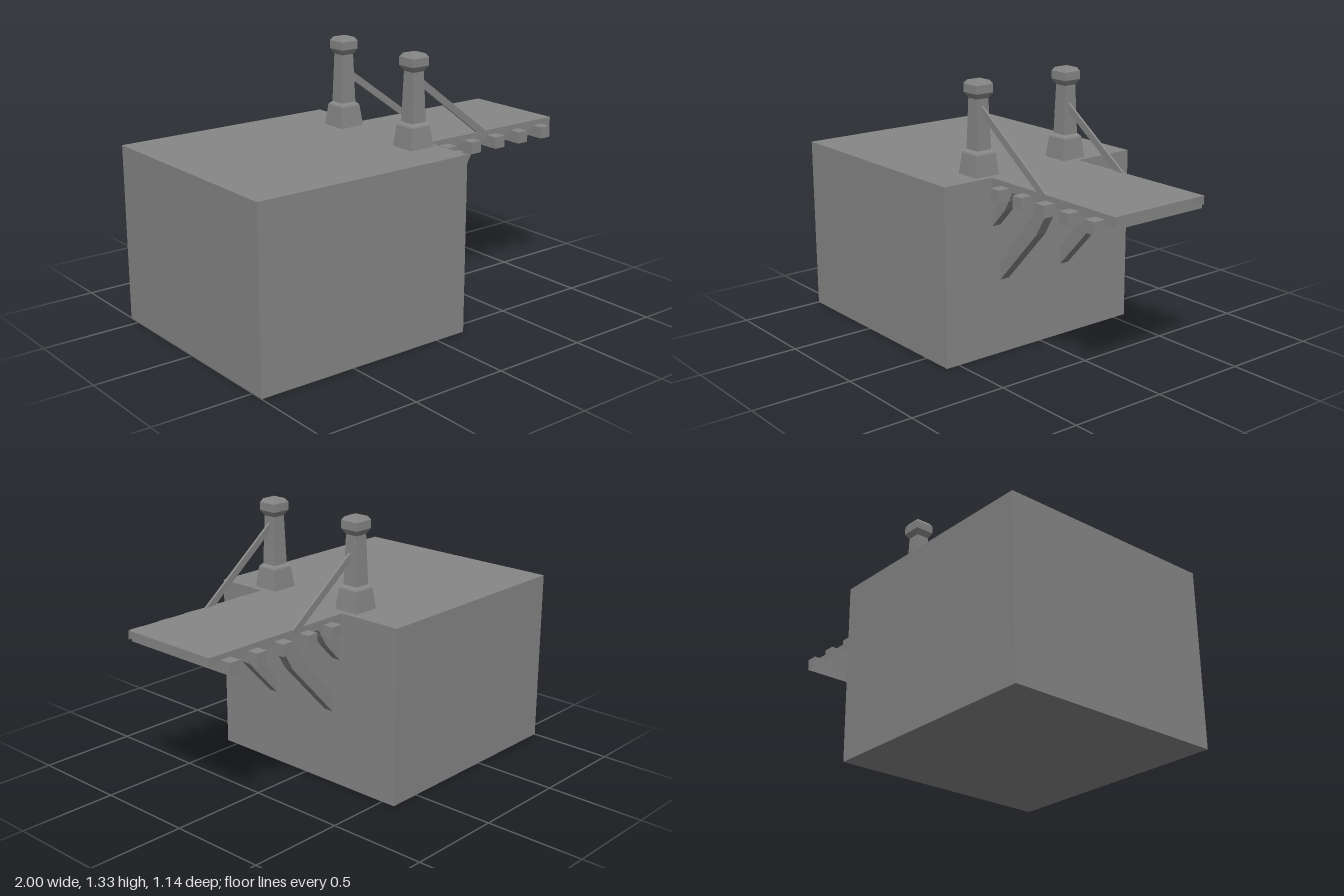
import * as THREE from 'three';

const SIDES = [{ mid: 0.298, dir: 1 }, { mid: -0.237, dir: -1 }];

export function createModel() {
  const group = new THREE.Group();
  const mat = new THREE.MeshStandardMaterial({ color: 0x878787, flatShading: true });
  const openMat = mat.clone();
  openMat.side = THREE.DoubleSide;

  const add = (name, geometry, material = mat) => {
    const mesh = new THREE.Mesh(geometry, material);
    mesh.name = name;
    group.add(mesh);
    return mesh;
  };
  // Box given by its limits on each axis; open lists missing faces (+x, -x, +y, -y, +z, -z as 0 to 5)
  const box = (name, x0, x1, y0, y1, z0, z1, open = []) => {
    const geometry = new THREE.BoxGeometry(x1 - x0, y1 - y0, z1 - z0)
      .translate((x0 + x1) / 2, (y0 + y1) / 2, (z0 + z1) / 2);
    geometry.setIndex(Array.from(geometry.index.array)
      .filter((_, i) => !open.includes(Math.floor(i / 6))));
    geometry.clearGroups();
    return add(name, geometry, open.length ? openMat : mat);
  };
  // Outline in the x-y plane, extruded from z0 to z1
  const plate = (name, points, z0, z1) => {
    const shape = new THREE.Shape(points.map(([x, y]) => new THREE.Vector2(x, y)));
    return add(name, new THREE.ExtrudeGeometry(shape, { depth: z1 - z0, bevelEnabled: false })
      .translate(0, 0, z0));
  };

  // Quay block
  box('quayBlock', -1, 0.167, 0, 0.883, -0.572, 0.57);

  // Deck with side edges, open at the ends and below
  box('deck', 0.167, 1, 0.84, 0.883, -0.24, 0.296, [0, 1, 3]);

  // Cross beams below the deck, open underneath
  for (let i = 0; i < 5; i++) {
    const x = 0.235 + i * 0.16;
    box('crossBeam', x, x + 0.06, 0.8, 0.858, -0.298, 0.358, [3]);
  }

  // Square post profile: half width, height
  const profile = [[0, 0.88], [0.068, 0.88], [0.056, 0.985], [0.053, 0.992], [0.041, 1.003],
    [0.033, 1.245], [0.036, 1.25], [0.049, 1.272], [0.049, 1.312], [0.037, 1.33], [0, 1.33]]
    .map(([w, y]) => new THREE.Vector2(w * Math.SQRT2, y));

  for (const { mid, dir } of SIDES) {
    const front = dir > 0;
    const post = new THREE.LatheGeometry(profile, 4).rotateY(Math.PI / 4).toNonIndexed();
    post.computeVertexNormals();
    add('post', post).position.set(0.07, 0, mid);

    // Thin sloping rail from post to deck, slightly askew, the rear one a little lower
    const drop = front ? 0 : 0.053;
    const rail = plate('rail', [[0.07, 1.195 - drop], [0.51 - drop, 0.865],
      [0.57 - drop, 0.865], [0.07, 1.238 - drop]], -0.006, 0.006);
    rail.position.z = front ? 0.304 : -0.227;
    rail.rotation.y = front ? 0.03 : 0.018;

    // Long and short struts under the deck
    const longZ = front ? 0.197 : -0.18;
    plate('longStrut', [[0.15, 0.355], [0.435, 0.66], [0.565, 0.88], [0.52, 0.88], [0.15, 0.437]],
      longZ, longZ + 0.053);
    const shortZ = front ? 0.247 : -0.225;
    plate('shortStrut', [[0.15, 0.63], [0.26, 0.745], [0.34, 0.88], [0.295, 0.88], [0.15, 0.7]],
      shortZ, shortZ + 0.048);
  }
  return group;
}
